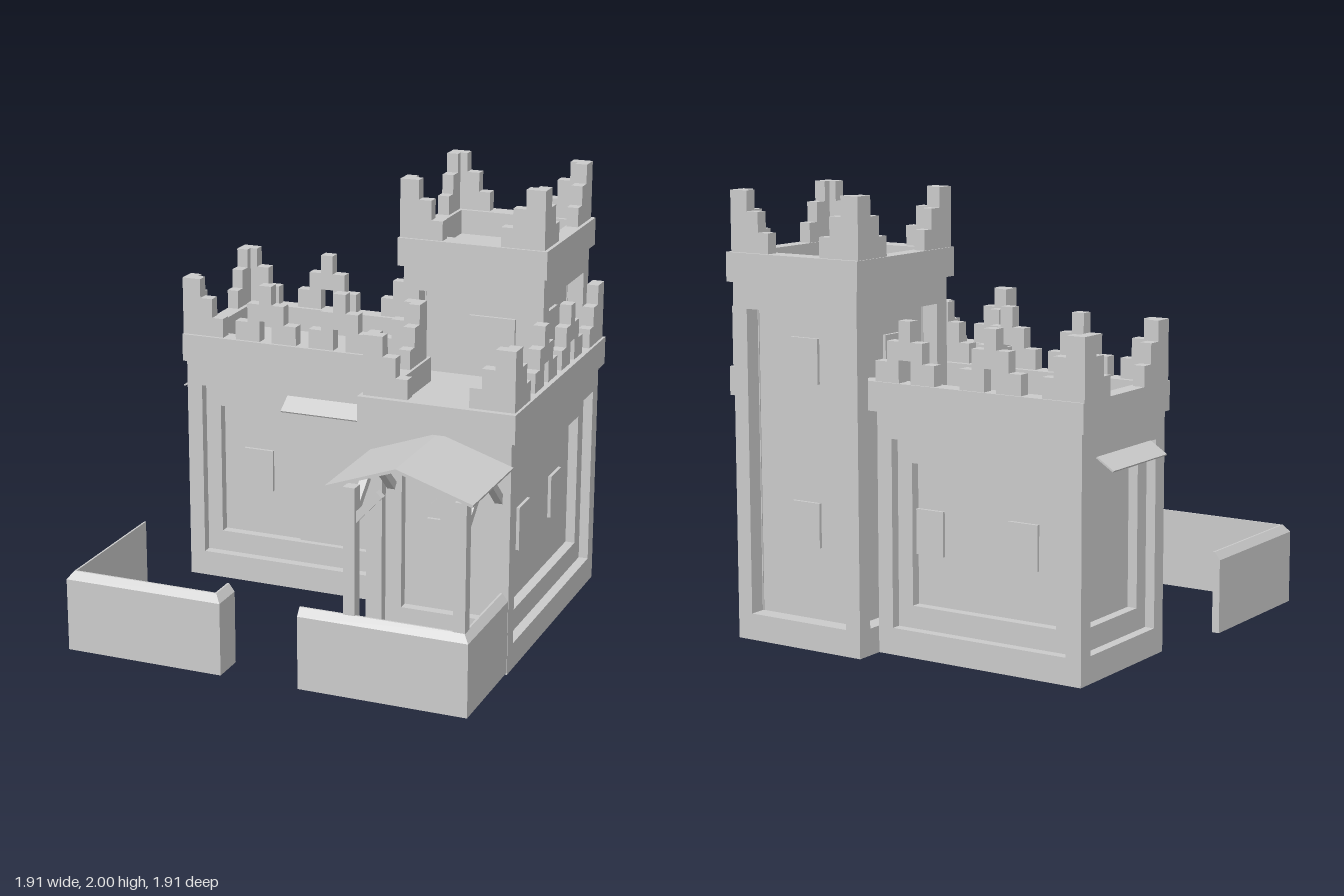
import * as THREE from 'three';

const mat = new THREE.MeshStandardMaterial({ color: 0xcccccc, flatShading: true, side: THREE.DoubleSide });

function add(parent, name, geo, x = 0, y = 0, z = 0) {
  const m = new THREE.Mesh(geo, mat);
  m.name = name;
  m.position.set(x, y, z);
  parent.add(m);
  return m;
}

// box given by its minimum and maximum corners
function block(parent, name, x0, x1, y0, y1, z0, z1) {
  return add(parent, name, new THREE.BoxGeometry(Math.abs(x1 - x0), y1 - y0, Math.abs(z1 - z0)),
    (x0 + x1) / 2, (y0 + y1) / 2, (z0 + z1) / 2);
}

// skin over closed cross-sections that all have the same number of points
function loft(loops, capStart, capEnd) {
  const n = loops[0].length, idx = [];
  for (let i = 0; i < loops.length - 1; i++) {
    for (let j = 0; j < n; j++) {
      const a = i * n + j, b = i * n + (j + 1) % n;
      idx.push(a, b, b + n, a, b + n, a + n);
    }
  }
  const last = (loops.length - 1) * n;
  for (let j = 1; j < n - 1; j++) {
    if (capStart) idx.push(0, j + 1, j);
    if (capEnd) idx.push(last, last + j, last + j + 1);
  }
  let g = new THREE.BufferGeometry();
  g.setAttribute('position', new THREE.Float32BufferAttribute(loops.flat(2), 3));
  g.setIndex(idx);
  g = g.toNonIndexed();
  g.computeVertexNormals();
  return g;
}

// wall with a sunken panel, stepped twice on the wings and once on the tower;
// slabs are [name, u, y0, y1, width]
function wall(parent, name, w, h, x, z, turn, { slabs = [], awningAt = null, stepped = true } = {}) {
  const g = new THREE.Group();
  g.name = name;
  g.position.set(x, 0, z);
  g.rotation.y = turn;
  parent.add(g);
  const ring = (side, bottom, top, d) => {
    const a = w / 2 - side;
    return [[-a, bottom, d], [a, bottom, d], [a, h - top, d], [-a, h - top, d]];
  };
  const first = stepped ? -0.045 : -0.08, deep = stepped ? -0.09 : -0.08;
  const rings = [ring(0, 0, 0, 0), ring(0.075, 0.12, 0.115, 0), ring(0.075, 0.12, 0.115, first)];
  if (stepped) rings.push(ring(0.15, 0.22, 0.22, first), ring(0.15, 0.22, 0.22, deep));
  add(g, 'panelledWall', loft(rings, false, true));
  for (const [label, u, y0, y1, width] of slabs)
    block(g, label, u - width / 2, u + width / 2, y0, y1, deep + 0.001, deep + 0.016);
  if (awningAt !== null)
    add(g, 'awning', new THREE.BoxGeometry(0.445, 0.008, 0.11), awningAt, 0.932, 0.032).rotation.x = 0.57;
}

const win = (u, y = 0.445) => ['window', u, y, y + 0.2, 0.148];

const shapeOf = pts => new THREE.Shape(pts.map(([x, z]) => new THREE.Vector2(x, -z)));

// raised rim around a sunken flat roof
function parapet(parent, name, outer, inner, y0, y1, floorY) {
  const rim = shapeOf(outer);
  rim.holes.push(shapeOf(inner));
  const geo = new THREE.ExtrudeGeometry(rim, { depth: y1 - y0, bevelEnabled: false });
  add(parent, name, geo.rotateX(-Math.PI / 2), 0, y0);
  add(parent, name + 'Floor', new THREE.ShapeGeometry(shapeOf(inner)).rotateX(-Math.PI / 2), 0, floorY);
}

const T = 0.055; // merlon thickness

// stepped corner merlon: arms run from the corner along sx and sz
function cornerMerlon(parent, x, z, sx, sz, y, armX = true) {
  const steps = [[0, 0.09, 0.27], [0.09, 0.15, 0.18], [0.15, 0.205, 0.09]];
  for (const [a, b, h] of steps) {
    if (armX) block(parent, 'cornerMerlon', x + sx * a, x + sx * b, y, y + h, z, z + sz * T);
    const s = armX ? Math.max(a, T) : a;
    block(parent, 'cornerMerlon', x, x + sx * T, y, y + h, z + sz * s, z + sz * b);
  }
}

// stepped merlon with a slot under its peak
function middleMerlon(parent, x, z, alongZ) {
  const g = new THREE.Group();
  g.name = 'middleMerlon';
  g.position.set(x, 1.2, z);
  if (alongZ) g.rotation.y = Math.PI / 2;
  parent.add(g);
  [0.09, 0.18, 0.27, 0.18, 0.09].forEach((h, i) => {
    const c = (i - 2) * 0.061;
    block(g, 'merlonStep', c - 0.0305, c + 0.0305, i === 2 ? 0.1 : 0, h, -T / 2, T / 2);
  });
}

// low yard wall with an outward chamfer, through outer and inner corner points
function yardWall(parent, name, outer, inner) {
  const loops = outer.map(([ox, oz], i) => {
    const [ix, iz] = inner[i];
    return [[0, 0.01], [0, 0.345], [0.75, 0.38], [1, 0.38], [1, 0.01]]
      .map(([t, y]) => [ox + (ix - ox) * t, y, oz + (iz - oz) * t]);
  });
  add(parent, name, loft(loops, true, true));
}

// square timber between two points
function timber(parent, name, a, b, size) {
  const p = new THREE.Vector3(...a), q = new THREE.Vector3(...b);
  const m = add(parent, name, new THREE.BoxGeometry(size, size, p.distanceTo(q)));
  m.position.copy(p).add(q).multiplyScalar(0.5);
  m.lookAt(q);
}

export function createModel() {
  const model = new THREE.Group();
  const Q = Math.PI / 2;

  // long wing and front wing
  wall(model, 'longWingFront', 1.14, 1.07, -0.305, -0.115, 0,
    { slabs: [win(-0.24), ['door', 0.175, 0.22, 0.85, 0.4]], awningAt: 0.168 });
  wall(model, 'longWingBack', 1.03, 1.07, -0.36, -0.8, 2 * Q, { slabs: [win(-0.3), win(0.18)] });
  wall(model, 'longWingEnd', 0.685, 1.07, -0.875, -0.4575, -Q, { awningAt: 0 });
  wall(model, 'frontWingFront', 0.665, 1.07, 0.5975, 0.45, 0, { slabs: [win(0)] });
  wall(model, 'frontWingOuterSide', 1.25, 1.07, 0.93, -0.175, Q, { slabs: [win(-0.2), win(0.25)] });
  wall(model, 'frontWingInnerSide', 0.565, 1.07, 0.265, 0.1675, -Q);
  add(model, 'frontWingBack', new THREE.PlaneGeometry(0.105, 1.07).rotateY(Math.PI), 0.8775, 0.535, -0.8);
  parapet(model, 'mainParapet',
    [[-0.89, -0.815], [0.955, -0.815], [0.955, 0.483], [0.235, 0.483], [0.235, -0.1], [-0.89, -0.1]],
    [[-0.815, -0.73], [0.86, -0.73], [0.86, 0.385], [0.32, 0.385], [0.32, -0.195], [-0.815, -0.195]],
    1.07, 1.2, 1.085);
  block(model, 'roofHatch', -0.443, -0.228, 1.075, 1.1, -0.67, -0.456);

  // tower
  const door = ['towerDoor', 0.07, 1.1, 1.375, 0.22];
  const tower = slabs => ({ slabs, stepped: false });
  wall(model, 'towerFront', 0.67, 1.6, 0.49, -0.27, 0, tower([door]));
  wall(model, 'towerBack', 0.67, 1.6, 0.49, -0.94, 2 * Q, tower([win(0), win(0, 1.17)]));
  wall(model, 'towerOuterSide', 0.67, 1.6, 0.825, -0.605, Q, tower([win(0, 1.17)]));
  wall(model, 'towerInnerSide', 0.67, 1.6, 0.155, -0.605, -Q, tower([door]));
  parapet(model, 'towerParapet',
    [[0.138, -0.957], [0.847, -0.957], [0.847, -0.235], [0.138, -0.235]],
    [[0.215, -0.865], [0.768, -0.865], [0.768, -0.335], [0.215, -0.335]], 1.6, 1.73, 1.615);
  block(model, 'towerHatch', 0.454, 0.669, 1.605, 1.63, -0.77, -0.55);
  for (const sx of [1, -1])
    for (const sz of [1, -1])
      cornerMerlon(model, 0.487 - sx * 0.343, -0.594 - sz * 0.346, sx, sz, 1.73);

  // battlements on the wings
  cornerMerlon(model, -0.89, -0.115, 1, -1, 1.2);
  cornerMerlon(model, -0.89, -0.805, 1, 1, 1.2);
  cornerMerlon(model, 0.943, 0.455, -1, -1, 1.2);
  cornerMerlon(model, 0.252, 0.455, 1, -1, 1.2);
  cornerMerlon(model, 0.307, -0.17, -1, 1, 1.2);
  cornerMerlon(model, 0.943, -0.805, -1, 1, 1.2, false);
  for (const x of [-0.468, -0.098]) middleMerlon(model, x, -0.1425, false);
  for (const x of [-0.43, 0.005]) middleMerlon(model, x, -0.778, false);
  for (const z of [-0.37, 0.005]) middleMerlon(model, 0.905, z, true);

  // porch
  const porch = new THREE.Group();
  porch.name = 'porch';
  model.add(porch);
  const gable = new THREE.Shape([[0.285, 0.955], [0.6, 1.068], [0.94, 0.958], [0.936, 0.946], [0.6, 1.054], [0.29, 0.943]]
    .map(p => new THREE.Vector2(...p)));
  add(porch, 'porchRoof', new THREE.ExtrudeGeometry(gable, { depth: 0.505, bevelEnabled: false }), 0, 0, 0.45);
  for (const s of [-1, 1]) {
    const x = 0.63 + s * 0.247;
    block(porch, 'post', x - 0.027, x + 0.027, 0, 0.95, 0.875, 0.93);
    timber(porch, 'crossBrace', [x - s * 0.01, 0.8, 0.9], [x - s * 0.13, 0.93, 0.9], 0.035);
    timber(porch, 'frontBrace', [x, 0.8, 0.9], [x, 0.935, 0.74], 0.035);
    timber(porch, 'wallBrace', [x, 0.8, 0.44], [x, 0.935, 0.59], 0.035);
  }

  // yard walls
  yardWall(model, 'longYardWall',
    [[-0.957, 0.255], [-0.957, 0.955], [-0.21, 0.955], [-0.21, 0.8]],
    [[-0.922, 0.255], [-0.922, 0.92], [-0.245, 0.92], [-0.245, 0.8]]);
  yardWall(model, 'porchYardWall',
    [[0.155, 0.955], [0.928, 0.955], [0.928, 0.45]],
    [[0.155, 0.92], [0.893, 0.92], [0.893, 0.45]]);
  return model;
}
